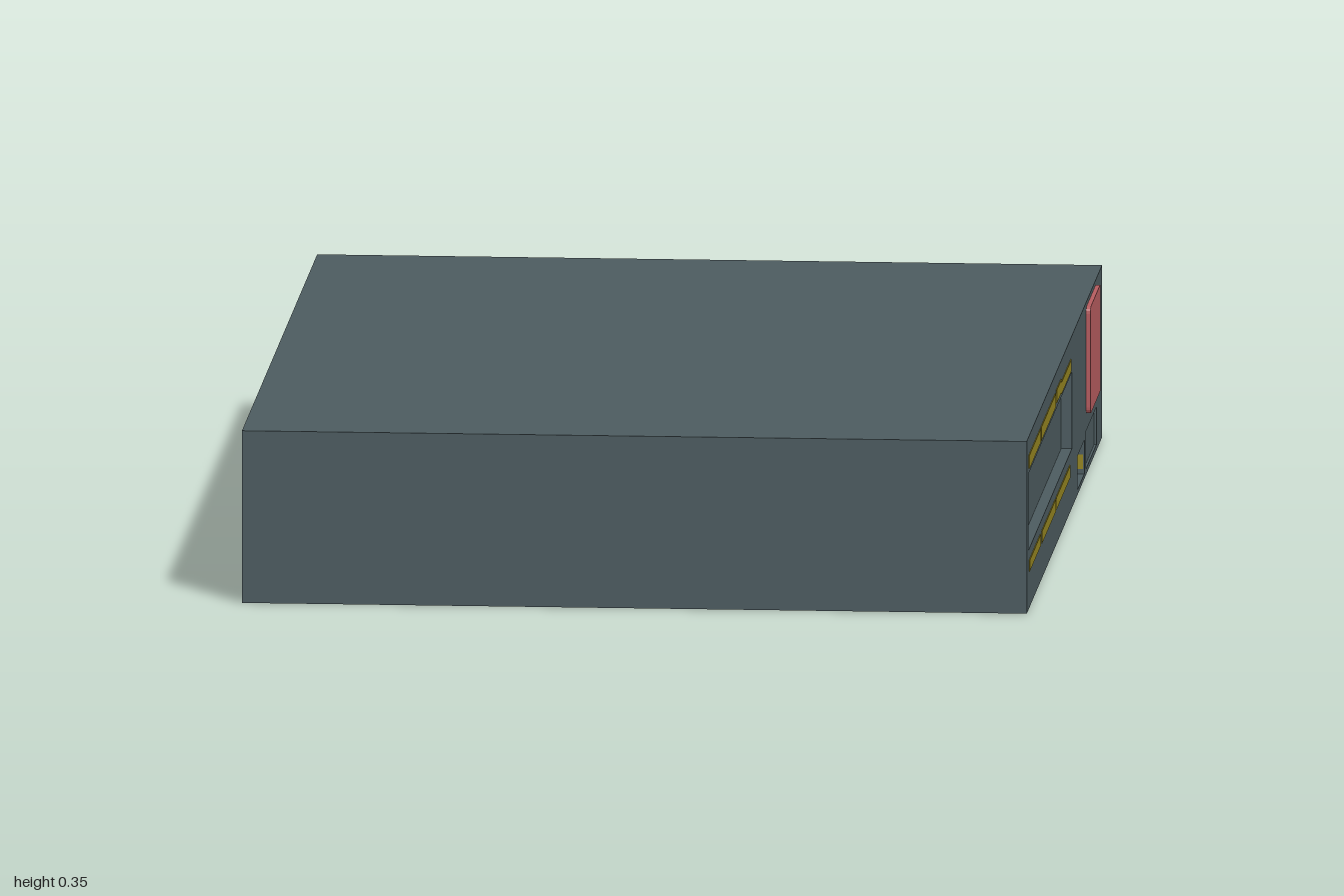
import * as THREE from 'three';

const FACE = 0.794, BACK = -0.803, H = 0.355, DEPTH = 0.022;

export function createModel() {
  const group = new THREE.Group();
  const material = (name, color) => {
    const m = new THREE.MeshStandardMaterial({ color });
    m.name = name;
    return m;
  };
  const slate = material('slate', 0x4c5b5f);
  const red = material('red', 0xb55c5f);
  const yellow = material('yellow', 0x948420);

  const add = (name, geometry, mat) => {
    const mesh = new THREE.Mesh(geometry, mat);
    mesh.name = name;
    group.add(mesh);
    return mesh;
  };
  // Box given by its lower and upper corners
  const box = (name, mat, x0, x1, y0, y1, z0, z1) => {
    const mesh = add(name, new THREE.BoxGeometry(x1 - x0, y1 - y0, z1 - z0), mat);
    mesh.position.set((x0 + x1) / 2, (y0 + y1) / 2, (z0 + z1) / 2);
  };
  const rect = (target, z0, z1, y0, y1) => {
    target.moveTo(-z1, y0);
    target.lineTo(-z0, y0);
    target.lineTo(-z0, y1);
    target.lineTo(-z1, y1);
    target.closePath();
    return target;
  };
  // Outline in (-z, y), extruded outwards along +x
  const sidePlate = (name, shape, mat, x, depth) => {
    const g = new THREE.ExtrudeGeometry(shape, { depth, bevelEnabled: false, curveSegments: 4 });
    g.rotateY(Math.PI / 2);
    add(name, g, mat).position.x = x;
  };

  // Main block, and a side wall with recessed bays
  box('body', slate, BACK, FACE - DEPTH, 0, H, -1, 1);
  const wall = rect(new THREE.Shape(), -1, 1, 0, H);
  wall.holes.push(
    rect(new THREE.Path(), -0.2, 0.95, 0.122, 0.28),
    rect(new THREE.Path(), -0.53, -0.35, 0.01, 0.08),
    rect(new THREE.Path(), -0.85, -0.57, 0.012, 0.09),
  );
  sidePlate('sideWall', wall, slate, FACE - DEPTH, DEPTH);
  box('shallowPanel', slate, FACE - DEPTH, FACE - 0.005, 0.012, 0.09, -0.85, -0.57);

  // Rounded red sign
  const r = 0.014, a = 0.576, b = 0.844, c = 0.125, d = 0.345;
  const sign = new THREE.Shape();
  sign.moveTo(a + r, c);
  sign.lineTo(b - r, c);
  sign.quadraticCurveTo(b, c, b, c + r);
  sign.lineTo(b, d - r);
  sign.quadraticCurveTo(b, d, b - r, d);
  sign.lineTo(a + r, d);
  sign.quadraticCurveTo(a, d, a, d - r);
  sign.lineTo(a, c + r);
  sign.quadraticCurveTo(a, c, a + r, c);
  sidePlate('sign', sign, red, FACE, 0.009);

  // Yellow dashes above and below the long bay: z range, y range
  const stripes = [
    [0.65, 0.95, 0.29, 0.318], [0.25, 0.635, 0.29, 0.318],
    [0.1, 0.225, 0.293, 0.32], [-0.165, 0.1, 0.289, 0.313],
    [0.645, 0.945, 0.077, 0.1], [0.25, 0.615, 0.075, 0.1], [-0.135, 0.23, 0.075, 0.1],
  ];
  for (const [z0, z1, y0, y1] of stripes) {
    box('stripe', yellow, FACE, FACE + 0.002, y0, y1, z0, z1);
  }

  // Small yellow marks on the side walls of the small bay
  for (const z of [-0.529, -0.351]) {
    box('bayMark', yellow, FACE - 0.018, FACE - 0.003, 0.02, 0.05, z - 0.001, z + 0.001);
  }
  return group;
}
